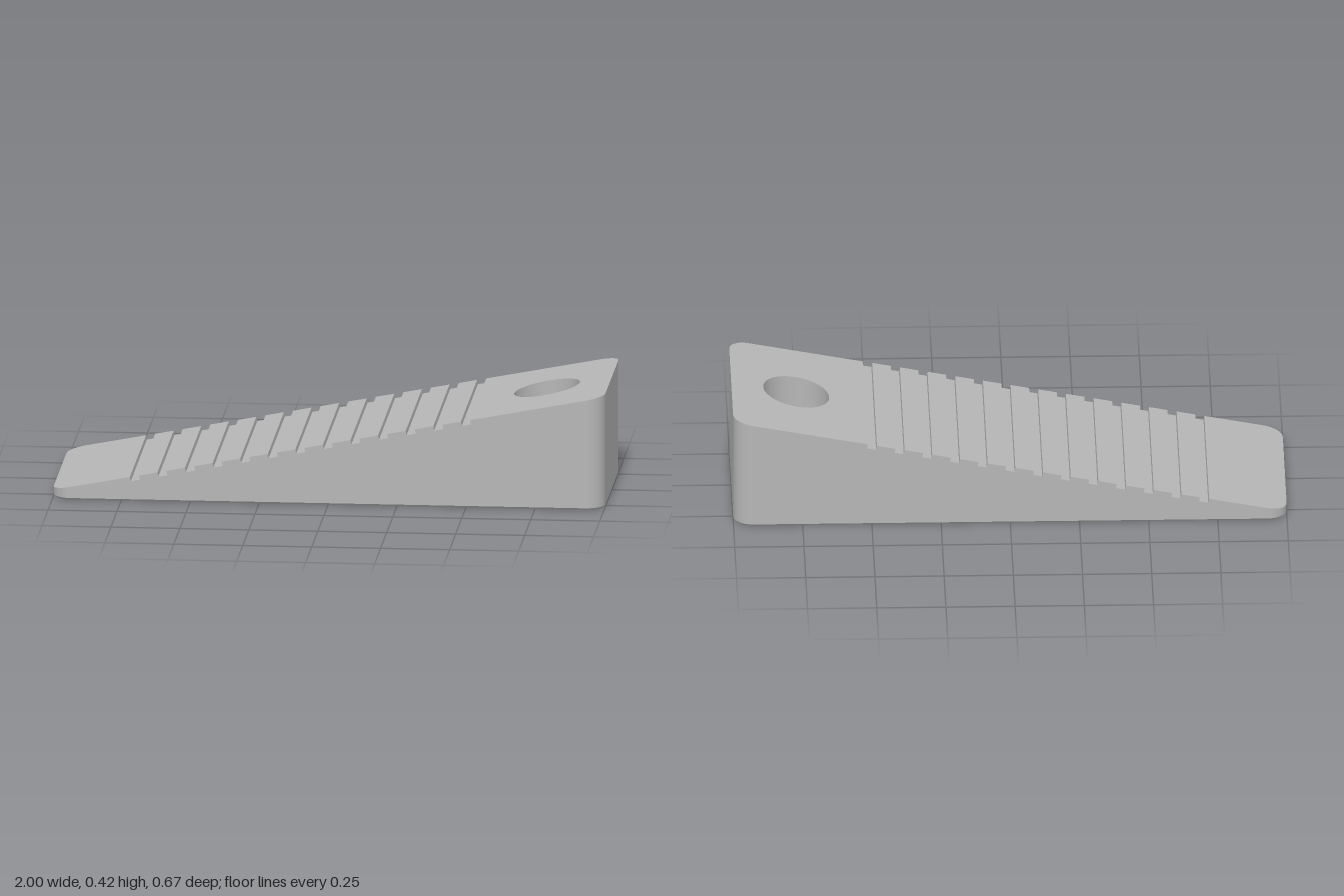
import * as THREE from 'three';

const W = 0.333, R = 0.07, CH = 0.007;           // half width, corner radius, bottom chamfer
const HOLE = { x: 0.765, r: 0.119 };
const SLOPE = 0.1915;
const topY = (x) => 0.227 + SLOPE * x;           // sloping upper face
const GROOVES = 13, PITCH = 0.1, FIRST = -0.718, GW = 0.033, DEPTH = 0.016;

// Rounded corner arc in plan (x, s = -z), k = 0..3 counter-clockwise from +x +s
function corner(k, inset = 0) {
  const sx = k === 0 || k === 3 ? 1 : -1, ss = k < 2 ? 1 : -1, n = 10, pts = [];
  for (let i = 0; i <= n; i++) {
    const a = (k + i / n) * Math.PI / 2, c = Math.cos(a), s = Math.sin(a);
    pts.push({ x: sx * (1 - R) + (R - inset) * c, s: ss * (W - R) + (R - inset) * s, nx: c, ns: s });
  }
  return pts;
}

function circle() {
  const pts = [];
  for (let i = 0; i <= 64; i++) {
    const a = -i / 64 * Math.PI * 2, c = Math.cos(a), s = Math.sin(a);
    pts.push({ x: HOLE.x + HOLE.r * c, s: HOLE.r * s, nx: -c, ns: -s });
  }
  return pts;
}

// Wall between two matching plan paths
function band(low, high, yLow, yHigh, ny = 0) {
  const pos = [], nor = [], idx = [];
  low.forEach((p, i) => {
    const q = high[i];
    pos.push(p.x, yLow(p.x), -p.s, q.x, yHigh(q.x), -q.s);
    const n = new THREE.Vector3(p.nx, ny, -p.ns).normalize();
    nor.push(n.x, n.y, n.z, n.x, n.y, n.z);
    if (i) {
      const a = 2 * i - 2, b = 2 * i;
      idx.push(a, b, b + 1, a, b + 1, a + 1);
    }
  });
  const g = new THREE.BufferGeometry();
  g.setAttribute('position', new THREE.Float32BufferAttribute(pos, 3));
  g.setAttribute('normal', new THREE.Float32BufferAttribute(nor, 3));
  g.setIndex(idx);
  return g;
}

// Flat plan plate, optionally pierced by the hole
function planShape(pts, pierced) {
  const toV = (p) => new THREE.Vector2(p.x, p.s);
  const shape = new THREE.Shape(pts.map(toV));
  if (pierced) shape.holes.push(new THREE.Path(circle().slice(0, -1).map(toV)));
  return new THREE.ShapeGeometry(shape);
}

function topPlate(pts, pierced) {
  const g = planShape(pts, pierced).rotateX(-Math.PI / 2), p = g.attributes.position;
  for (let i = 0; i < p.count; i++) p.setY(i, topY(p.getX(i)));
  g.computeVertexNormals();
  return g;
}

export function createModel() {
  const group = new THREE.Group();
  group.name = 'doorWedge';
  const grey = new THREE.MeshStandardMaterial({ color: 0xb6b6b6 });
  grey.name = 'grey';
  const add = (name, geometry) => {
    const m = new THREE.Mesh(geometry, grey);
    m.name = name;
    group.add(m);
  };

  // Grooved profile, grooves cut square to the slope
  const profile = [], lean = DEPTH * SLOPE;
  for (let i = 0; i < GROOVES; i++) {
    const a = FIRST + i * PITCH, b = a + GW;
    profile.push([a, topY(a)], [a + lean, topY(a) - DEPTH], [b + lean, topY(b) - DEPTH], [b, topY(b)]);
  }
  const start = profile[0][0], end = profile[profile.length - 1][0];

  // Ribbed tread
  const pos = [];
  for (let i = 0; i + 1 < profile.length; i++) {
    const [x0, y0] = profile[i], [x1, y1] = profile[i + 1];
    pos.push(x0, y0, W, x1, y1, W, x1, y1, -W, x0, y0, W, x1, y1, -W, x0, y0, -W);
  }
  const tread = new THREE.BufferGeometry();
  tread.setAttribute('position', new THREE.Float32BufferAttribute(pos, 3));
  tread.computeVertexNormals();
  add('ribbedTread', tread);

  // Smooth top at the thick and thin ends
  const thick = [...corner(3), ...corner(0)], thin = [...corner(1), ...corner(2)];
  add('thickEndTop', topPlate([{ x: end, s: -W }, ...thick, { x: end, s: W }], true));
  add('thinEndTop', topPlate([{ x: start, s: W }, ...thin, { x: start, s: -W }], false));

  // Rounded end walls
  add('thickEndWall', band(thick, thick, () => CH, topY));
  add('thinEndWall', band(thin, thin, () => CH, topY));

  // Flat sides following the grooved profile
  const e = 1 - R;
  const outline = [[-e, CH], [e, CH], [e, topY(e)], ...profile.slice().reverse(), [-e, topY(-e)]];
  const side = (sx) => new THREE.ShapeGeometry(
    new THREE.Shape(outline.map(([x, y]) => new THREE.Vector2(sx * x, y))));
  add('frontSide', side(1).translate(0, 0, W));
  add('backSide', side(-1).rotateY(Math.PI).translate(0, 0, -W));

  // Chamfer and base
  const loop = (inset) => {
    const pts = [0, 1, 2, 3].flatMap((k) => corner(k, inset));
    return [...pts, pts[0]];
  };
  add('bottomChamfer', band(loop(CH), loop(0), () => 0, () => CH, -1));
  add('base', planShape(loop(CH).slice(0, -1), true).rotateX(Math.PI / 2));

  // Hanging hole
  add('holeWall', band(circle(), circle(), () => 0, topY));
  return group;
}
